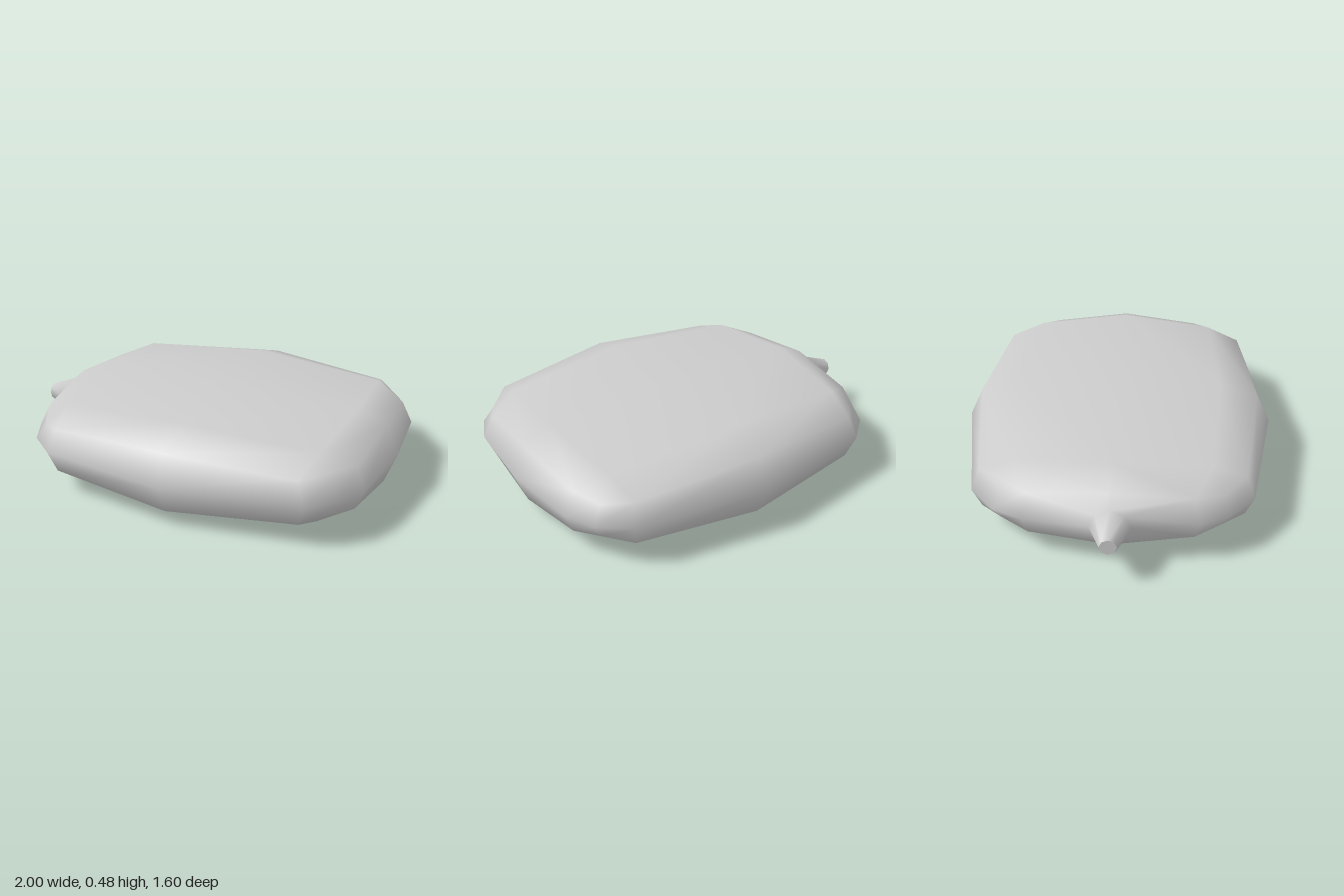
import * as THREE from 'three';
import { mergeVertices } from 'three/addons/utils/BufferGeometryUtils.js';

// Cushion surface in one octant, keyed by grid steps |i| |j| |k| along x, y, z
const OCTANT = {
  '010': [0, 0.24, 0], '110': [0.72, 0.225, 0], '210': [0.87, 0.155, 0],
  '011': [0, 0.225, 0.53], '012': [0, 0.155, 0.73],
  '111': [0.68, 0.18, 0.48], '211': [0.84, 0.115, 0.4], '112': [0.65, 0.115, 0.65],
  '212': [0.77, 0.085, 0.54],
  '200': [0.93, 0, 0], '201': [0.89, 0, 0.42], '202': [0.82, 0, 0.57],
  '102': [0.68, 0, 0.69], '002': [0, 0, 0.8],
};

// Mirror the octant to any signed grid position
function surfacePoint(i, j, k) {
  const p = OCTANT[`${Math.abs(i)}${Math.abs(j)}${Math.abs(k)}`];
  return [p[0] * Math.sign(i), p[1] * Math.sign(j), p[2] * Math.sign(k)];
}

// Eight-sided ring of the spout, facing -x
function spoutRing(x, r) {
  return Array.from({ length: 8 }, (_, n) => {
    const a = (n * Math.PI) / 4;
    return [x, r * Math.sin(a), r * Math.cos(a)];
  });
}

function bodyGeometry() {
  const box = new THREE.BoxGeometry(4, 2, 4, 4, 2, 4).toNonIndexed();
  const pos = box.getAttribute('position');
  const out = [];

  // Pillow faces, leaving a gap in the -x side for the spout
  for (let t = 0; t < pos.count; t += 3) {
    const tri = [0, 1, 2].map((n) => [pos.getX(t + n), pos.getY(t + n), pos.getZ(t + n)].map(Math.round));
    if (tri.every(([i, , k]) => i === -2 && Math.abs(k) <= 1)) continue;
    tri.forEach((g) => out.push(...surfacePoint(...g)));
  }

  // Side wall narrowing into the spout
  const gap = [[0, 1], [1, 1], [1, 0], [1, -1], [0, -1], [-1, -1], [-1, 0], [-1, 1]];
  const rings = [
    gap.map(([j, k]) => surfacePoint(-2, j, k)),
    spoutRing(-0.93, 0.1),
    spoutRing(-1.07, 0.042),
  ];
  for (let r = 0; r < 2; r++) {
    for (let n = 0; n < 8; n++) {
      const m = (n + 1) % 8;
      const [a, b] = [rings[r][n], rings[r][m]];
      const [d, c] = [rings[r + 1][n], rings[r + 1][m]];
      out.push(...a, ...b, ...c, ...a, ...c, ...d);
    }
  }

  const soup = new THREE.BufferGeometry();
  soup.setAttribute('position', new THREE.Float32BufferAttribute(out, 3));
  const geometry = mergeVertices(soup, 1e-4);
  geometry.computeVertexNormals();
  return geometry;
}

export function createModel() {
  const group = new THREE.Group();
  group.name = 'cushionWithSpout';
  const material = new THREE.MeshStandardMaterial({ color: 0xcccccc, side: THREE.DoubleSide });

  // Puffed body with its spout
  const body = new THREE.Mesh(bodyGeometry(), material);
  body.name = 'body';
  body.position.set(0.07, 0.24, 0);

  // Flat end of the spout
  const tip = new THREE.Mesh(new THREE.CircleGeometry(0.042, 8), material);
  tip.name = 'spoutTip';
  tip.rotation.y = -Math.PI / 2;
  tip.position.set(-1, 0.24, 0);

  group.add(body, tip);
  return group;
}
